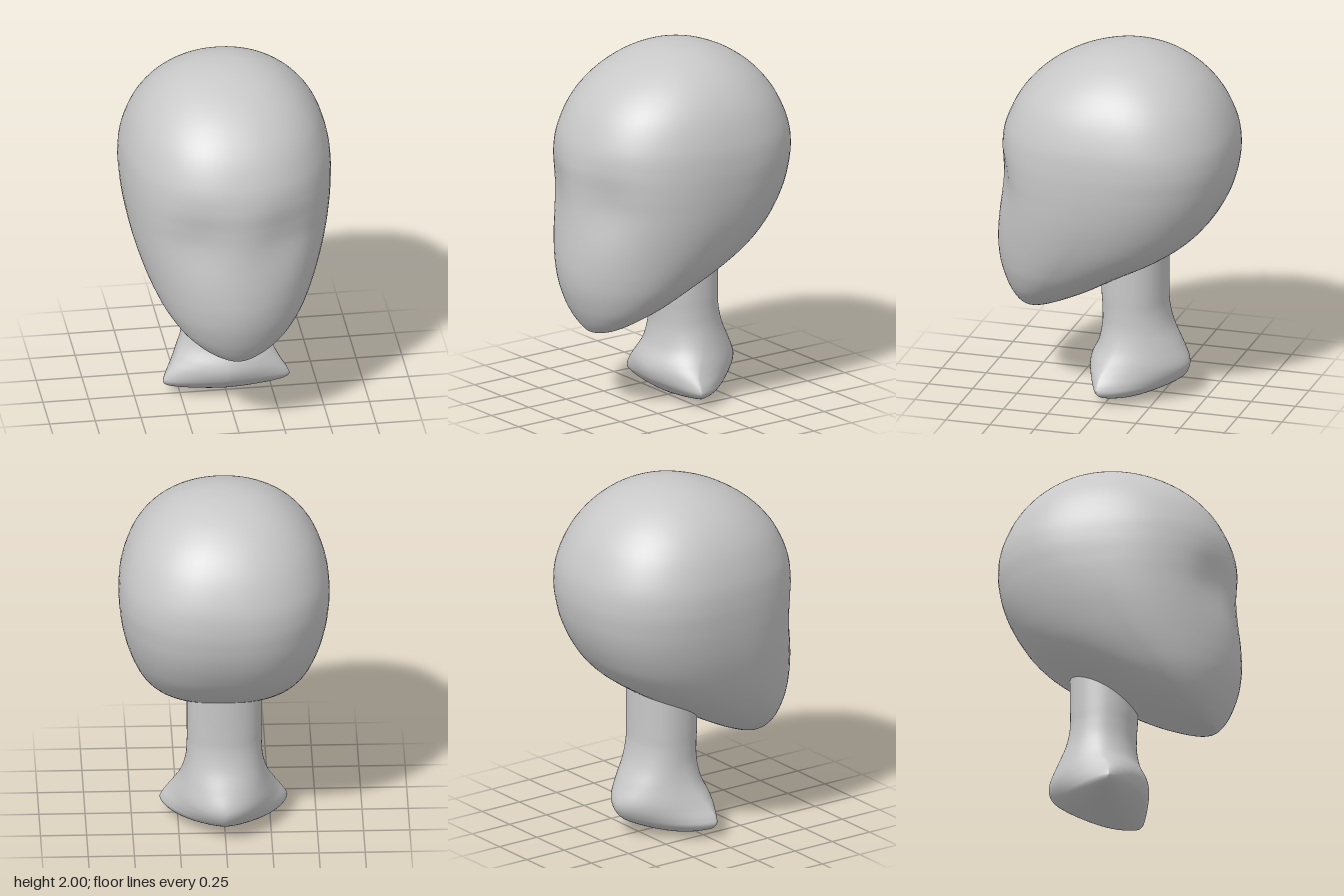
import * as THREE from 'three';
import { mergeVertices } from 'three/addons/utils/BufferGeometryUtils.js';

const SIDES = 72;
const STEPS = 8;

// Rows from bottom to top:
// [y, half width, front z, widest z, back z, front roundness, back roundness]
const HEAD_ROWS = [
  [0.445, 0, 0.475, 0.475, 0.475, 2, 2],
  [0.457, 0.07, 0.523, 0.46, 0.408, 2, 2],
  [0.485, 0.14, 0.55, 0.445, 0.335, 1.95, 2.05],
  [0.53, 0.212, 0.58, 0.42, 0.235, 1.92, 2.15],
  [0.6, 0.295, 0.615, 0.37, 0.1, 1.9, 2.25],
  [0.7, 0.374, 0.648, 0.3, -0.07, 1.9, 2.35],
  [0.8, 0.43, 0.663, 0.23, -0.255, 1.92, 2.45],
  [0.9, 0.474, 0.663, 0.16, -0.4, 1.98, 2.48],
  [1.0, 0.508, 0.656, 0.1, -0.5, 2.06, 2.46],
  [1.1, 0.535, 0.647, 0.04, -0.567, 2.15, 2.4],
  [1.2, 0.554, 0.64, -0.01, -0.615, 2.22, 2.35],
  [1.3, 0.566, 0.638, -0.05, -0.645, 2.28, 2.3],
  [1.42, 0.571, 0.635, -0.08, -0.66, 2.28, 2.27],
  [1.55, 0.557, 0.605, -0.08, -0.645, 2.26, 2.25],
  [1.7, 0.506, 0.53, -0.07, -0.583, 2.22, 2.2],
  [1.82, 0.426, 0.42, -0.06, -0.493, 2.15, 2.15],
  [1.91, 0.323, 0.285, -0.06, -0.38, 2.1, 2.1],
  [1.965, 0.214, 0.15, -0.06, -0.265, 2.05, 2.05],
  [1.992, 0.107, 0.043, -0.06, -0.163, 2, 2],
  [2.0, 0, -0.06, -0.06, -0.06, 2, 2],
];

const NECK_ROWS = [
  [0.004, 0, -0.08, -0.08, -0.08, 1.7, 1.7],
  [0.012, 0.12, -0.02, -0.07, -0.14, 1.7, 1.7],
  [0.03, 0.23, 0.025, -0.04, -0.205, 1.65, 1.65],
  [0.055, 0.31, 0.065, 0, -0.27, 1.55, 1.55],
  [0.085, 0.344, 0.1, 0.02, -0.33, 1.5, 1.5],
  [0.12, 0.337, 0.13, 0.02, -0.375, 1.5, 1.5],
  [0.17, 0.305, 0.145, 0.01, -0.4, 1.6, 1.65],
  [0.22, 0.275, 0.137, -0.02, -0.395, 1.75, 1.8],
  [0.3, 0.236, 0.1, -0.07, -0.355, 1.95, 2],
  [0.4, 0.21, 0.08, -0.1, -0.305, 2.1, 2.1],
  [0.5, 0.203, 0.08, -0.1, -0.28, 2.1, 2.1],
  [0.6, 0.203, 0.085, -0.1, -0.275, 2.15, 2.15],
  [0.8, 0.203, 0.085, -0.1, -0.275, 2.15, 2.15],
  [1.0, 0.203, 0.085, -0.1, -0.275, 2.15, 2.15],
];

// Smoothly interpolated rows, one curve per column
function smoothRows(rows) {
  const curves = rows[0].map((_, c) => new THREE.CatmullRomCurve3(
    rows.map((r) => new THREE.Vector3(r[c], 0, 0)), false, 'catmullrom', 0.5));
  const count = (rows.length - 1) * STEPS;
  return Array.from({ length: count + 1 }, (_, i) => curves.map((c) => c.getPoint(i / count).x));
}

// Skin over horizontal superellipse sections
function loft(rows, adjust = () => {}) {
  const rings = smoothRows(rows);
  const positions = [];
  const indices = [];
  const p = new THREE.Vector3();
  const bend = (v, e) => Math.sign(v) * Math.pow(Math.abs(v), 2 / e);
  for (const [y, w, front, mid, back, frontRound, backRound] of rings) {
    for (let i = 0; i < SIDES; i++) {
      const t = (i / SIDES) * Math.PI * 2;
      const e = Math.sin(t) > 0 ? frontRound : backRound;
      const s = bend(Math.sin(t), e);
      p.set(w * bend(Math.cos(t), e), y, mid + s * (s > 0 ? front - mid : mid - back));
      adjust(p, s);
      positions.push(p.x, p.y, p.z);
    }
  }
  for (let j = 0; j < rings.length - 1; j++) {
    for (let i = 0; i < SIDES; i++) {
      const a = j * SIDES + i;
      const b = j * SIDES + ((i + 1) % SIDES);
      indices.push(a, a + SIDES, b, b, a + SIDES, b + SIDES);
    }
  }
  const g = new THREE.BufferGeometry();
  g.setAttribute('position', new THREE.Float32BufferAttribute(positions, 3));
  g.setIndex(indices);
  const merged = mergeVertices(g, 1e-5);
  merged.computeVertexNormals();
  return merged;
}

// Broad, shallow eye hollows on the front of the face
function eyeHollows(p, s) {
  const dx = (Math.abs(p.x) - 0.24) / 0.15;
  const dy = (p.y - 1.22) / 0.2;
  p.z -= 0.033 * THREE.MathUtils.smoothstep(s, 0, 0.8) * Math.exp(-dx * dx - dy * dy);
}

export function createModel() {
  const group = new THREE.Group();
  group.name = 'mannequinHead';
  const grey = new THREE.MeshStandardMaterial({ color: 0xc8c8c8 });
  grey.name = 'grey';

  const head = new THREE.Mesh(loft(HEAD_ROWS, eyeHollows), grey);
  head.name = 'head';
  const neck = new THREE.Mesh(loft(NECK_ROWS), grey);
  neck.name = 'neck';
  group.add(head, neck);
  return group;
}
